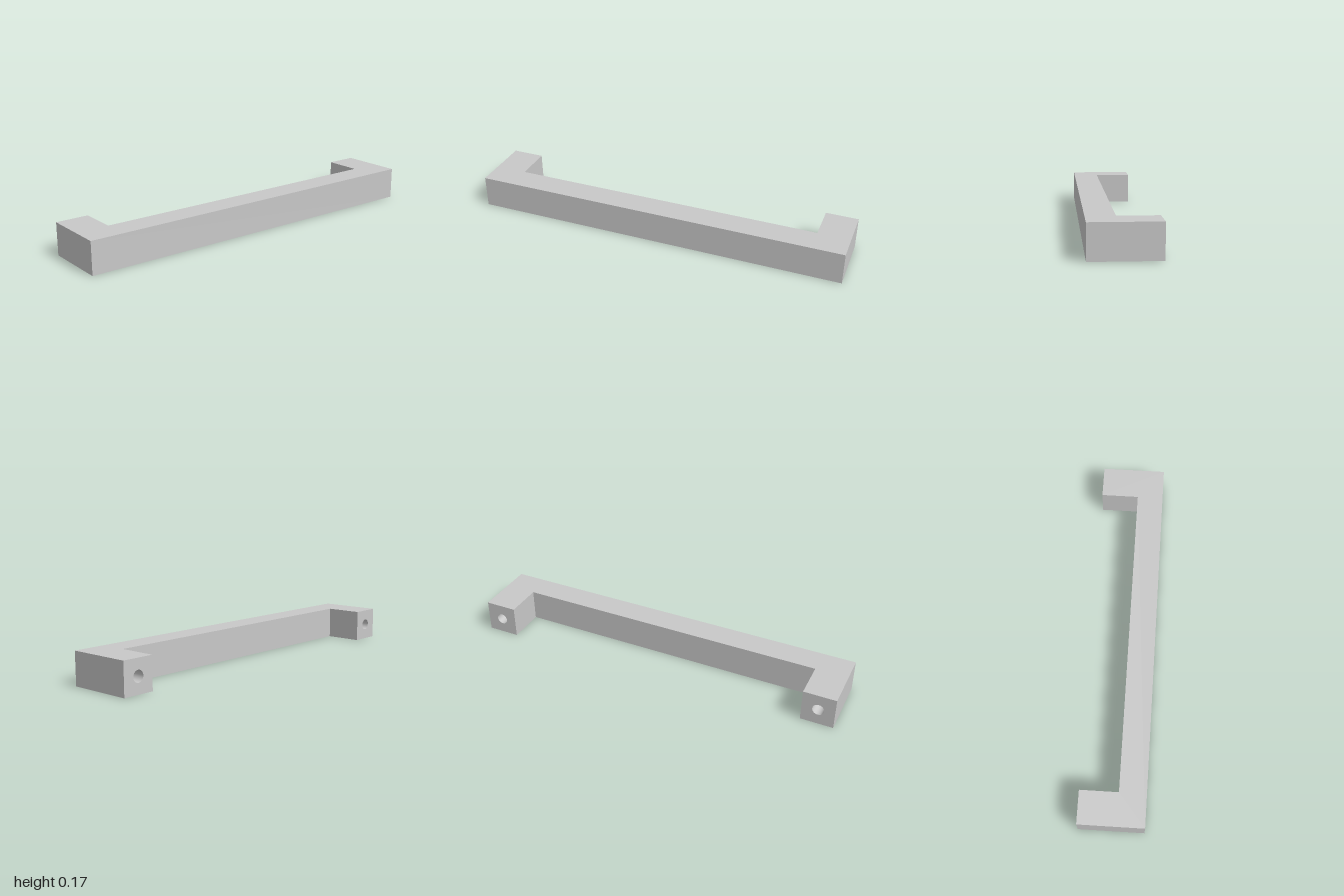
import * as THREE from 'three';

const HEIGHT = 0.17, BACK = 0.169, BAR_BACK = 0.03, LEG = 0.17;
const HOLE_R = 0.03, HOLE_DEPTH = 0.2;

// U-shaped handle outline, extruded upward, with the two leg ends left open
function handleGeometry() {
  const outline = [
    [-1, -BACK], [1, -BACK], [1, BACK], [1 - LEG, BACK],
    [1 - LEG, -BAR_BACK], [-1 + LEG, -BAR_BACK], [-1 + LEG, BACK], [-1, BACK],
  ].map(([x, y]) => new THREE.Vector2(x, y));
  const solid = new THREE.ExtrudeGeometry(new THREE.Shape(outline), { depth: HEIGHT, bevelEnabled: false });
  solid.rotateX(-Math.PI / 2);
  const p = solid.attributes.position;
  const kept = [];
  for (let i = 0; i < p.count; i += 3) {
    const onLegEnd = [0, 1, 2].every((k) => p.getZ(i + k) < -BACK + 1e-4);
    if (onLegEnd) continue;
    for (let k = 0; k < 3; k++) kept.push(p.getX(i + k), p.getY(i + k), p.getZ(i + k));
  }
  const geometry = new THREE.BufferGeometry();
  geometry.setAttribute('position', new THREE.Float32BufferAttribute(kept, 3));
  geometry.computeVertexNormals();
  return geometry;
}

// Square leg end pierced by a blind screw hole
function mountingEnd(material) {
  const end = new THREE.Group();
  const add = (name, geometry, z) => {
    const mesh = new THREE.Mesh(geometry, material);
    mesh.name = name;
    mesh.position.z = z;
    end.add(mesh);
  };
  const w = LEG / 2, h = HEIGHT / 2;
  const face = new THREE.Shape([[-w, -h], [w, -h], [w, h], [-w, h]].map(([x, y]) => new THREE.Vector2(x, y)));
  face.holes.push(new THREE.Path().absarc(0, 0, HOLE_R, 0, Math.PI * 2, true));
  add('legEndFace', new THREE.ShapeGeometry(face, 32).rotateY(Math.PI), -BACK);

  // Profile runs downward so the wall faces inward
  const wall = [new THREE.Vector2(HOLE_R, HOLE_DEPTH), new THREE.Vector2(HOLE_R, 0)];
  add('screwHoleWall', new THREE.LatheGeometry(wall, 32).rotateX(-Math.PI / 2), -BACK + HOLE_DEPTH);
  add('screwHoleBottom', new THREE.CircleGeometry(HOLE_R, 32).rotateY(Math.PI), -BACK + HOLE_DEPTH);
  return end;
}

export function createModel() {
  const group = new THREE.Group();
  group.name = 'drawerHandle';
  const metal = new THREE.MeshStandardMaterial({ color: 0xc8c8c8 });
  metal.name = 'light grey metal';

  const body = new THREE.Mesh(handleGeometry(), metal);
  body.name = 'handleBody';
  group.add(body);

  for (const side of [-1, 1]) {
    const end = mountingEnd(metal);
    end.name = side > 0 ? 'leftMountingEnd' : 'rightMountingEnd';
    end.position.set(side * (1 - LEG / 2), HEIGHT / 2, 0);
    group.add(end);
  }
  return group;
}
